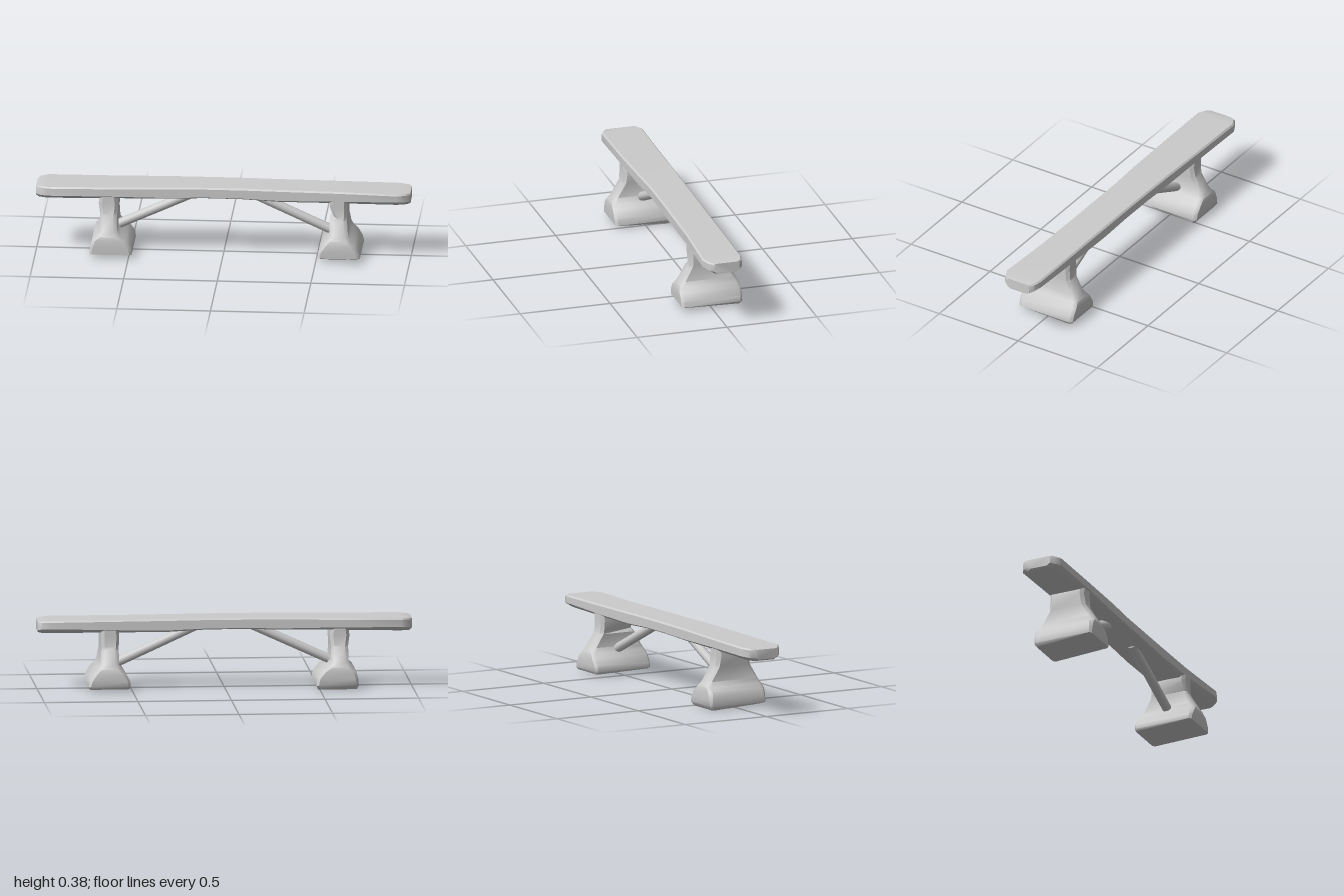
import * as THREE from 'three';
import { toCreasedNormals } from 'three/addons/utils/BufferGeometryUtils.js';

const material = new THREE.MeshStandardMaterial({ color: 0xcccccc });

// Skin a stack of equal-length point rings and close both ends
function loft(rings, crease) {
  const n = rings[0].length, last = (rings.length - 1) * n, index = [];
  for (let i = 0; i < rings.length - 1; i++) {
    for (let j = 0; j < n; j++) {
      const a = i * n + j, b = i * n + (j + 1) % n;
      index.push(a, a + n, b, b, a + n, b + n);
    }
  }
  for (let j = 1; j < n - 1; j++) {
    index.push(0, j, j + 1);
    index.push(last, last + j + 1, last + j);
  }
  const geometry = new THREE.BufferGeometry();
  geometry.setAttribute('position', new THREE.Float32BufferAttribute(rings.flat(2), 3));
  geometry.setIndex(index);
  return toCreasedNormals(geometry, crease);
}

function addMesh(parent, name, geometry) {
  const mesh = new THREE.Mesh(geometry, material);
  mesh.name = name;
  parent.add(mesh);
  return mesh;
}

// Plank section: flat top, bevelled underside
function plankRing([x, back, front, bottom, top, bevel]) {
  return [
    [x, bottom, back + bevel], [x, bottom, front - bevel],
    [x, bottom + bevel * 0.65, front], [x, top - 0.008, front],
    [x, top, front - 0.008], [x, top, back + 0.008],
    [x, top - 0.008, back], [x, bottom + bevel * 0.65, back],
  ];
}

// Leg section: chamfered rectangle, with an optional notch at the front
function legRing([y, xL, xR, z, chamfer, notch = 0, tilt = 0]) {
  const c = chamfer, yF = y + tilt, yB = y - tilt;
  return [
    [xR, yF, z - c], [xR - c, yF, z], [xL + c + notch, yF, z], [xL + notch, yF, z - c],
    [xL, yB, c - z], [xL + c, yB, -z], [xR - c, yB, -z], [xR, yB, c - z],
  ];
}

export function createModel() {
  const group = new THREE.Group();
  group.name = 'bench';

  // Seat: x, back z, front z, underside, top, bevel
  const stations = [
    [-1, -0.065, 0.07, 0.315, 0.368, 0.02],
    [-0.985, -0.095, 0.085, 0.306, 0.374, 0.03],
    [-0.94, -0.118, 0.11, 0.306, 0.376, 0.035],
    [-0.6, -0.113, 0.107, 0.314, 0.379, 0.025],
    [-0.3, -0.109, 0.1, 0.32, 0.384, 0.012],
    [-0.1, -0.107, 0.092, 0.326, 0.385, 0.01],
    [0.1, -0.105, 0.092, 0.325, 0.385, 0.01],
    [0.3, -0.104, 0.094, 0.314, 0.383, 0.015],
    [0.6, -0.103, 0.098, 0.312, 0.381, 0.025],
    [0.93, -0.1, 0.115, 0.311, 0.379, 0.04],
    [0.98, -0.088, 0.095, 0.311, 0.377, 0.035],
    [1, -0.068, 0.07, 0.316, 0.374, 0.02],
  ];
  addMesh(group, 'seat', loft(stations.map(plankRing), 0.7));

  // Legs: spreading domed feet below narrow columns
  const rightLeg = [
    [0.011, -0.7, -0.49, 0.155, 0.012, 0, 0.008],
    [0.024, -0.708, -0.482, 0.17, 0.012],
    [0.06, -0.705, -0.487, 0.172, 0.014],
    [0.1, -0.695, -0.515, 0.172, 0.018],
    [0.122, -0.67, -0.545, 0.168, 0.018],
    [0.15, -0.656, -0.563, 0.153, 0.018],
    [0.228, -0.656, -0.564, 0.106, 0.018],
    [0.285, -0.664, -0.558, 0.1, 0.018],
    [0.33, -0.658, -0.566, 0.1, 0.018],
  ];
  const leftLeg = [
    [0.021, 0.517, 0.73, 0.16, 0.012, 0, 0.004],
    [0.03, 0.511, 0.737, 0.168, 0.012],
    [0.06, 0.514, 0.73, 0.17, 0.014],
    [0.1, 0.537, 0.708, 0.17, 0.018],
    [0.125, 0.56, 0.685, 0.163, 0.018],
    [0.15, 0.573, 0.672, 0.15, 0.018],
    [0.222, 0.57, 0.663, 0.108, 0.018],
    [0.238, 0.57, 0.663, 0.102, 0.016, 0.025],
    [0.29, 0.567, 0.664, 0.1, 0.016, 0.005],
    [0.33, 0.57, 0.663, 0.1, 0.016],
  ];
  addMesh(group, 'rightLeg', loft(rightLeg.map(legRing), 0.75));
  addMesh(group, 'leftLeg', loft(leftLeg.map(legRing), 0.75));

  // Diagonal braces from the legs up to the middle of the seat
  for (const side of [-1, 1]) {
    const from = new THREE.Vector3(side * 0.6, 0.128, 0);
    const to = new THREE.Vector3(side * 0.14, 0.338, 0);
    const direction = to.clone().sub(from);
    const brace = addMesh(group, side < 0 ? 'rightBrace' : 'leftBrace',
      new THREE.CylinderGeometry(0.025, 0.025, direction.length(), 10));
    brace.position.copy(from).add(to).multiplyScalar(0.5);
    brace.quaternion.setFromUnitVectors(new THREE.Vector3(0, 1, 0), direction.normalize());
  }
  return group;
}
